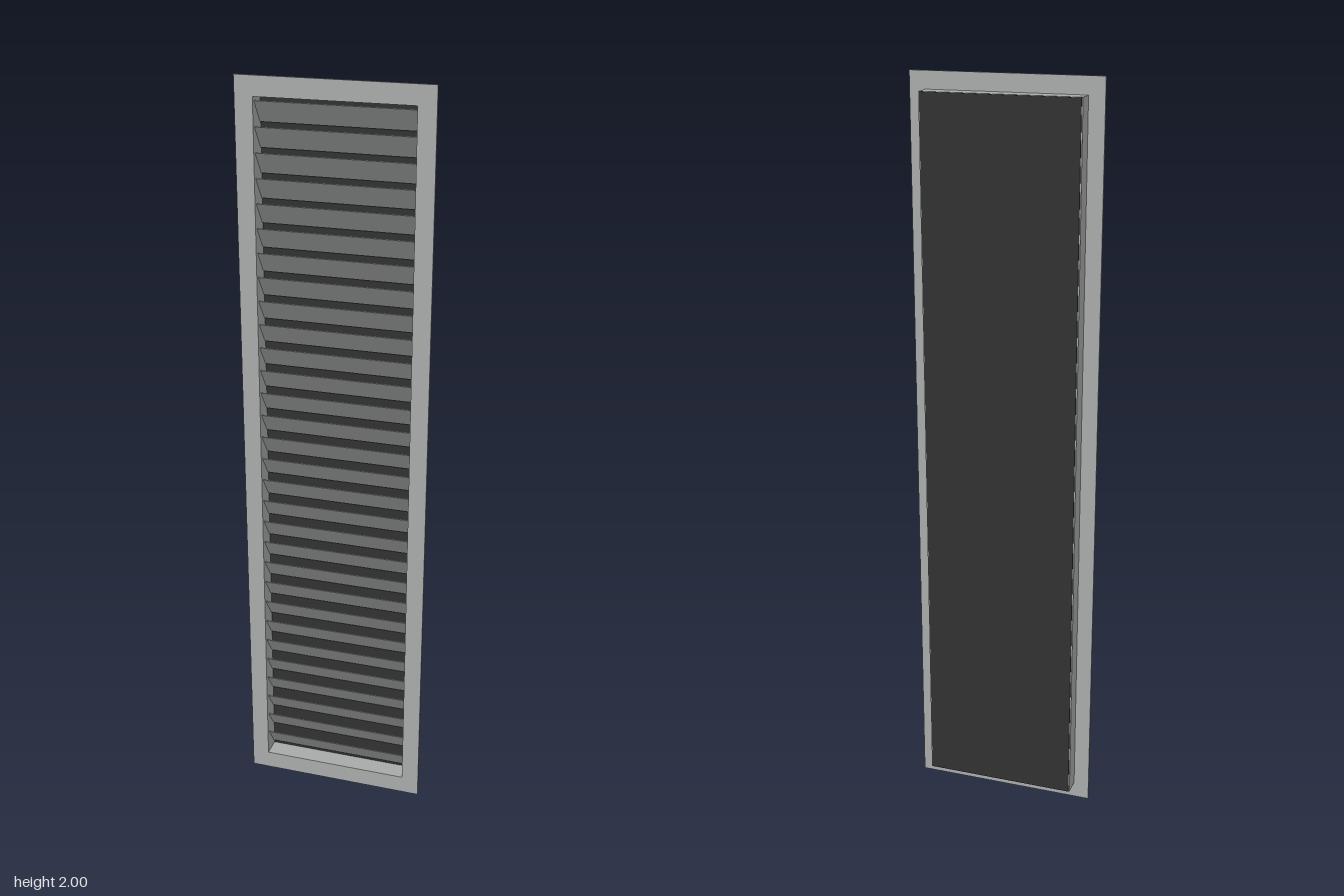
import * as THREE from 'three';

const paint = new THREE.MeshStandardMaterial({ name: 'grey paint', color: 0xa9acab });
const dark = new THREE.MeshStandardMaterial({ name: 'dark backing', color: 0x323232 });

const HEIGHT = 2, WIDTH = 0.5;
const OPEN_W = 0.406, OPEN_H = 1.9; // clear opening inside the sleeve
const SLATS = 30, PITCH = 0.0628;

// Rectangular ring centred at mid height, extruded from z0 to z1
function ring(name, w, h, z0, z1) {
  const rect = (target, a, b) => target
    .moveTo(-a / 2, -b / 2).lineTo(a / 2, -b / 2)
    .lineTo(a / 2, b / 2).lineTo(-a / 2, b / 2).closePath();
  const shape = rect(new THREE.Shape(), w, h);
  shape.holes.push(rect(new THREE.Path(), OPEN_W, OPEN_H));
  const geometry = new THREE.ExtrudeGeometry(shape, { depth: z1 - z0, bevelEnabled: false });
  const mesh = new THREE.Mesh(geometry, paint);
  mesh.name = name;
  mesh.position.set(0, HEIGHT / 2, z0);
  return mesh;
}

export function createModel() {
  const group = new THREE.Group();
  group.name = 'louvreVent';

  // Flat face flange and the sleeve behind it
  group.add(ring('flange', WIDTH, HEIGHT, 0.021, 0.027));
  group.add(ring('sleeve', 0.416, 1.91, -0.027, 0.021));

  // Dark panel closing the back
  const back = new THREE.Mesh(new THREE.BoxGeometry(0.41, 1.908, 0.003), dark);
  back.name = 'backPanel';
  back.position.set(0, HEIGHT / 2, -0.0285);
  group.add(back);

  // Slanted slats, top edge forward
  const slats = new THREE.Group();
  slats.name = 'slats';
  const rise = 0.057, run = 0.04;
  const slatGeometry = new THREE.BoxGeometry(OPEN_W, Math.hypot(rise, run), 0.002);
  for (let i = 0; i < SLATS; i++) {
    const slat = new THREE.Mesh(slatGeometry, paint);
    slat.name = 'slat';
    slat.position.set(0, HEIGHT / 2 + (i - (SLATS - 1) / 2) * PITCH, -0.003);
    slat.rotation.x = Math.atan2(run, rise);
    slats.add(slat);
  }
  group.add(slats);
  return group;
}
